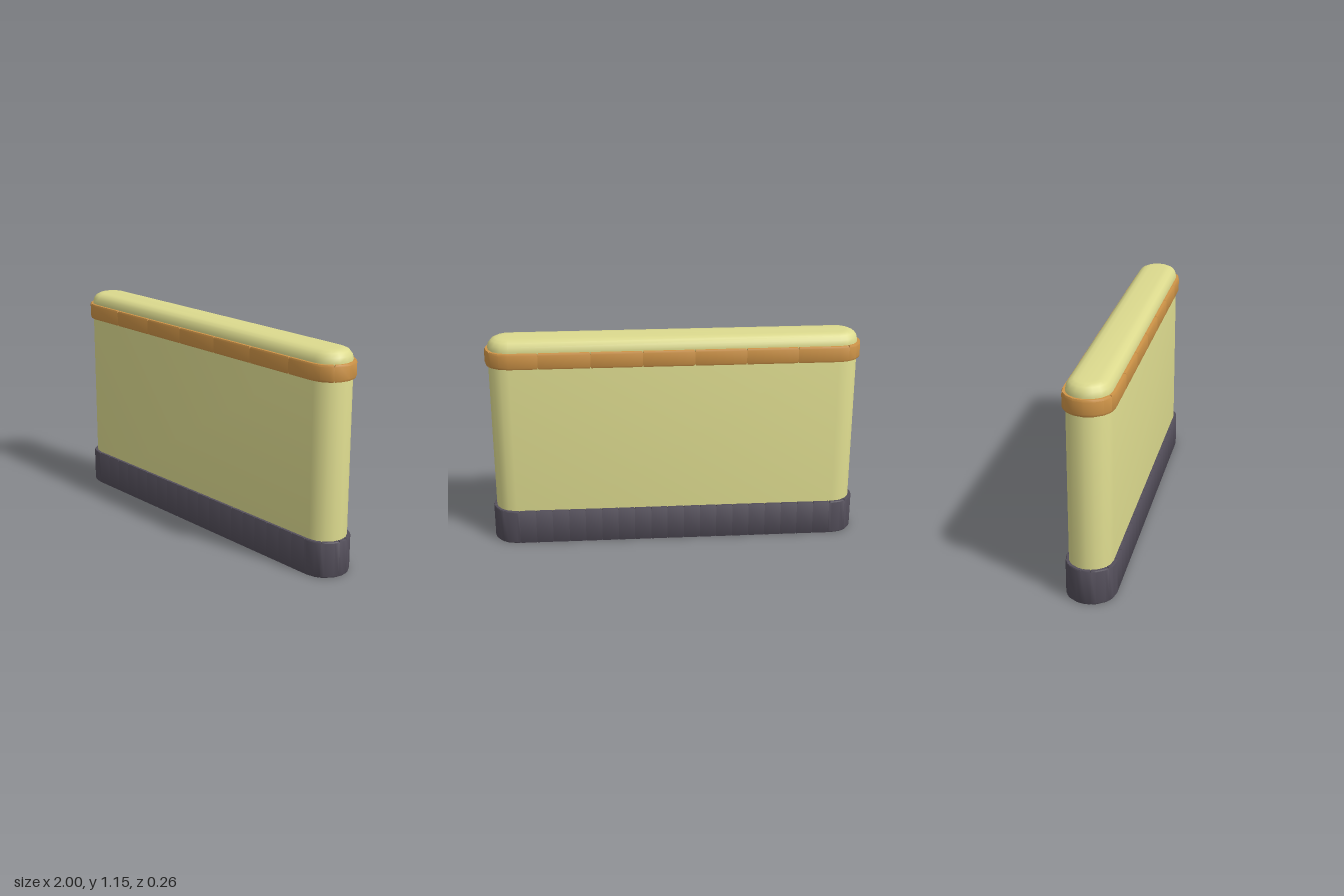
import * as THREE from 'three';
import { toCreasedNormals } from 'three/addons/utils/BufferGeometryUtils.js';

const C = 0.87;                       // half length of the straight sides
const R = 0.13;                       // outer end radius of the stone rings
const ARC = Math.PI * R;
const PERIM = 4 * C + 2 * ARC;
const STEPS = 8;                      // facets per rounded end

// Point on the rounded plan at distance u, starting at x = -C on the front side
function planPoint(u, r) {
  let d = (((u + C) % PERIM) + PERIM) % PERIM;
  if (d <= 2 * C) return [d - C, r];
  d -= 2 * C;
  if (d <= ARC) return [C + r * Math.sin(d / R), r * Math.cos(d / R)];
  d -= ARC;
  if (d <= 2 * C) return [C - d, -r];
  d -= 2 * C;
  return [-C - r * Math.sin(d / R), -r * Math.cos(d / R)];
}

// Distances of the facet corners on both rounded ends
const knots = [];
for (const start of [C, 3 * C + ARC])
  for (let k = 0; k <= STEPS; k++) knots.push(start + (ARC * k) / STEPS);

// Wall body: stacked plan loops with a rounded top and closed ends
function bodyGeometry() {
  const levels = [[0, 0.113], [1.1, 0.113], [1.124, 0.107], [1.143, 0.092], [1.153, 0.07], [1.155, 0.045]];
  const n = knots.length;
  const pos = [], index = [];
  for (const [y, r] of levels)
    for (const u of knots) {
      const [x, z] = planPoint(u, r);
      pos.push(x, y, z);
    }
  for (let l = 0; l < levels.length - 1; l++)
    for (let i = 0; i < n; i++) {
      const a = l * n + i, b = l * n + ((i + 1) % n);
      index.push(a, b, b + n, a, b + n, a + n);
    }
  const top = (levels.length - 1) * n;
  for (let i = 1; i < n - 1; i++) {
    index.push(top, top + i, top + i + 1);
    index.push(0, i + 1, i);
  }
  const geo = new THREE.BufferGeometry();
  geo.setAttribute('position', new THREE.Float32BufferAttribute(pos, 3));
  geo.setIndex(index);
  return toCreasedNormals(geo, 0.75);
}

// One bevelled stone following the plan from u0 to u1
function stoneGeometry(u0, u1, y0, y1, inner, bevel, bevelHeight) {
  const us = [u0, u1];
  for (const k of knots)
    for (const s of [k - PERIM, k, k + PERIM])
      if (s > u0 + 0.01 && s < u1 - 0.01) us.push(s);
  us.sort((a, b) => a - b);
  const outline = [
    ...us.map((u) => planPoint(u, R)),
    ...us.slice().reverse().map((u) => planPoint(u, inner)),
  ].map(([x, z]) => new THREE.Vector2(x, -z));
  const geo = new THREE.ExtrudeGeometry(new THREE.Shape(outline), {
    depth: y1 - y0 - 2 * bevelHeight, bevelEnabled: true, bevelSegments: 1,
    bevelSize: bevel, bevelOffset: -bevel, bevelThickness: bevelHeight,
  });
  geo.rotateX(-Math.PI / 2);
  geo.translate(0, y0 + bevelHeight, 0);
  return toCreasedNormals(geo, 0.5);
}

// Ring of stones: front joints are mirrored onto the back
function stoneRing(name, joints, material, y0, y1, bevel, bevelHeight) {
  const ring = new THREE.Group();
  ring.name = name;
  const mid = 2 * C + ARC;
  const back = joints.slice().reverse().map((u) => mid - u);
  const all = [...joints, ...back, joints[0] + PERIM];
  for (let i = 0; i < all.length - 1; i++) {
    const stone = new THREE.Mesh(stoneGeometry(all[i], all[i + 1], y0, y1, 0.105, bevel, bevelHeight), material);
    stone.name = name + 'Stone';
    ring.add(stone);
  }
  return ring;
}

export function createModel() {
  const plaster = new THREE.MeshStandardMaterial({ color: 0xdcda8e });
  plaster.name = 'pale yellow plaster';
  const brick = new THREE.MeshStandardMaterial({ color: 0xd09548 });
  brick.name = 'orange brick';
  const slate = new THREE.MeshStandardMaterial({ color: 0x544f5b });
  slate.name = 'dark slate';

  const model = new THREE.Group();
  model.name = 'gardenWall';

  const body = new THREE.Mesh(bodyGeometry(), plaster);
  body.name = 'wallBody';
  model.add(body);

  // Long bricks below the rounded top
  const trimJoints = Array.from({ length: 8 }, (_, k) => -0.921 + 0.273 * k);
  model.add(stoneRing('trim', trimJoints, brick, 1.01, 1.095, 0.004, 0.01));

  // Narrow upright stones around the foot
  const half = Array.from({ length: 10 }, (_, k) => 0.045 + 0.09 * k).concat(0.951, 1.049);
  const baseJoints = [...half.map((u) => -u).reverse(), ...half];
  model.add(stoneRing('base', baseJoints, slate, 0, 0.19, 0.003, 0.006));

  return model;
}
